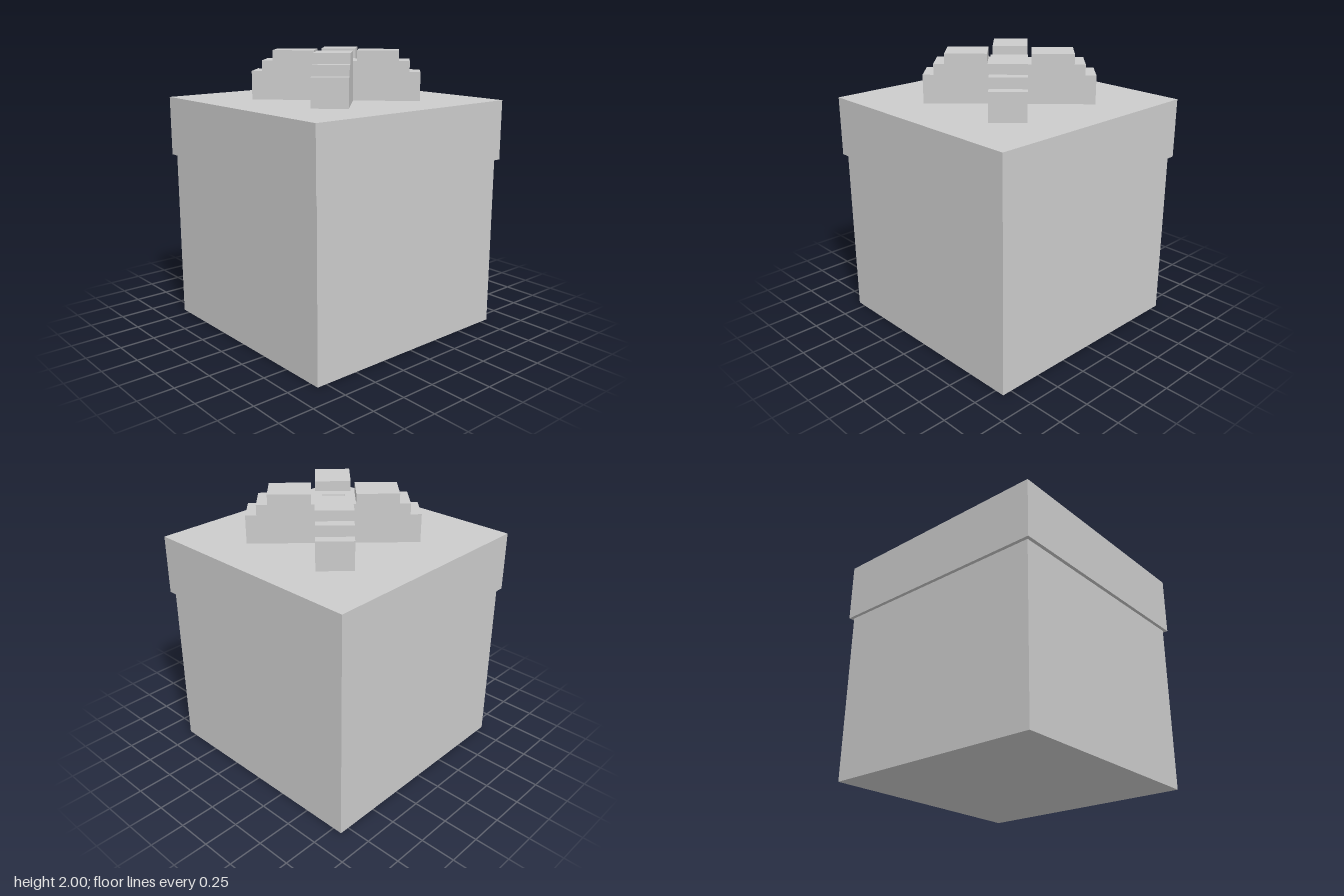
import * as THREE from 'three';

const material = new THREE.MeshStandardMaterial({ color: 0xcccccc, flatShading: true });

function box(name, width, y0, y1) {
  const mesh = new THREE.Mesh(new THREE.BoxGeometry(width, y1 - y0, width), material);
  mesh.name = name;
  mesh.position.y = (y0 + y1) / 2;
  return mesh;
}

export function createModel() {
  const model = new THREE.Group();
  model.name = 'giftBox';
  const lidTop = 1.655;
  model.add(box('body', 1.64, 0, 1.23));
  model.add(box('lid', 1.69, 1.23, lidTop));

  // Bow: four stepped loops crossing at the centre, leaving a small square pit
  const bow = new THREE.Group();
  bow.name = 'bow';
  bow.position.set(0.005, lidTop, -0.03);
  const loopWidth = 0.248;
  const profile = new THREE.Shape([
    [0, 0], [0.59, 0], [0.59, 0.2], [0.515, 0.2], [0.515, 0.275], [0.44, 0.275],
    [0.44, 0.345], [0.15, 0.345], [0.15, 0.275], [0.077, 0.275], [0.077, 0.2], [0, 0.2],
  ].map(([x, y]) => new THREE.Vector2(x, y)));
  const loopGeometry = new THREE.ExtrudeGeometry(profile, { depth: loopWidth, bevelEnabled: false });
  loopGeometry.translate(0, 0, -loopWidth / 2);
  for (let i = 0; i < 4; i++) {
    const loop = new THREE.Mesh(loopGeometry, material);
    loop.name = 'bowLoop' + (i + 1);
    loop.rotation.y = Math.PI / 4 + i * Math.PI / 2;
    bow.add(loop);
  }
  model.add(bow);
  return model;
}
